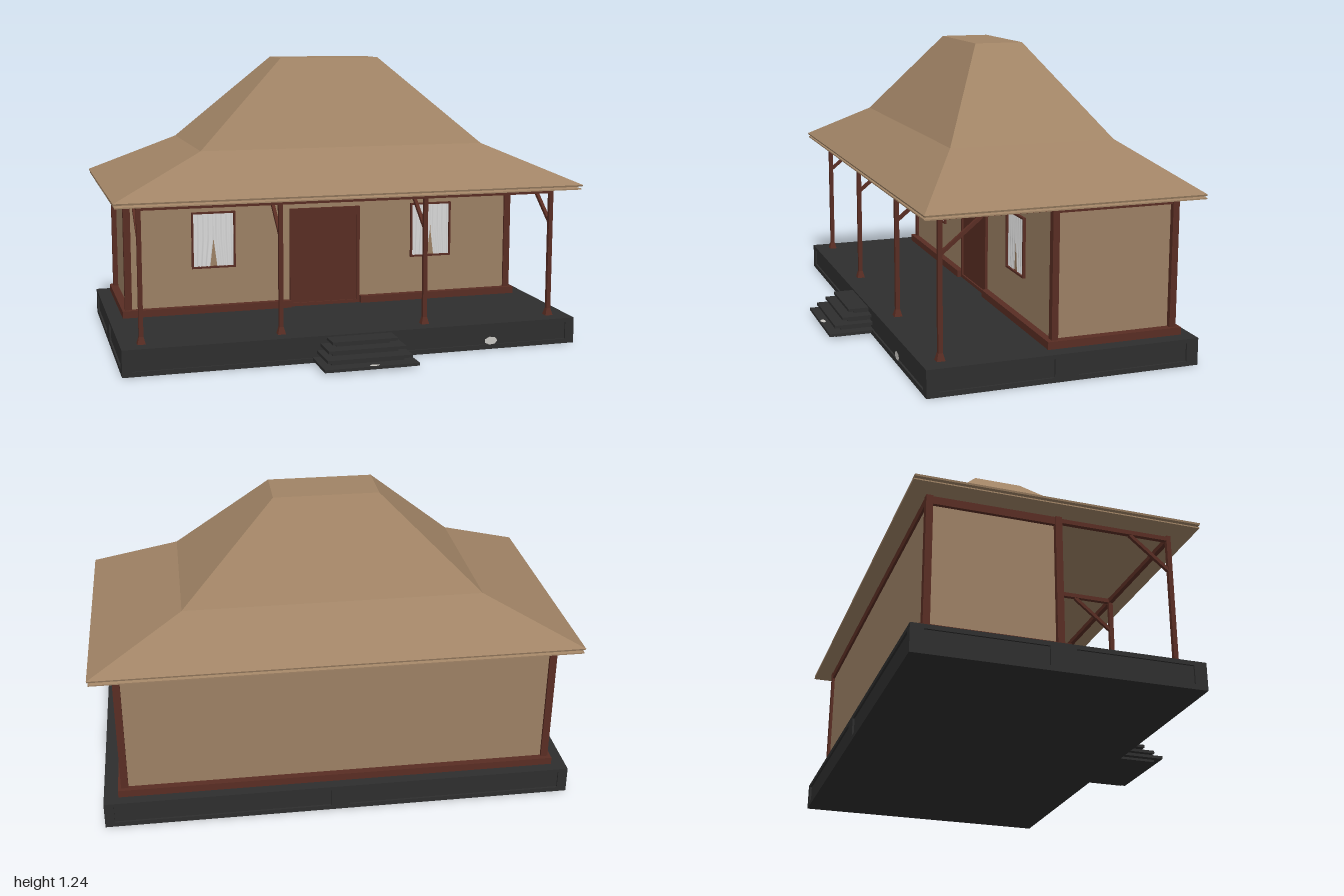
import * as THREE from 'three';

const mat = (name, color, side = THREE.FrontSide) => {
  const m = new THREE.MeshStandardMaterial({ color, side });
  m.name = name;
  return m;
};

// Stack of rectangular rings [y, halfWidth, zBack, zFront], flat faceted and capped
function ringLoft(rings) {
  const pos = [];
  const corners = ([y, w, b, f]) => [[-w, y, f], [w, y, f], [w, y, b], [-w, y, b]];
  const quad = (a, b, c, d) => pos.push(...a, ...b, ...c, ...a, ...c, ...d);
  for (let i = 0; i + 1 < rings.length; i++) {
    const lo = corners(rings[i]), hi = corners(rings[i + 1]);
    for (let k = 0; k < 4; k++) {
      const n = (k + 1) % 4;
      quad(lo[k], lo[n], hi[n], hi[k]);
    }
  }
  const bottom = corners(rings[0]), top = corners(rings[rings.length - 1]);
  quad(bottom[3], bottom[2], bottom[1], bottom[0]);
  quad(...top);
  const g = new THREE.BufferGeometry();
  g.setAttribute('position', new THREE.Float32BufferAttribute(pos, 3));
  g.computeVertexNormals();
  return g;
}

export function createModel() {
  const thatch = mat('thatch', 0xa08365);
  const plaster = mat('plaster', 0x9c8064);
  const wood = mat('dark red wood', 0x592d23);
  const stone = mat('dark stone', 0x2e2e2e);
  const cloth = mat('curtain cloth', 0xd9d9d9, THREE.DoubleSide);
  const chip = mat('pale chip', 0xc9c7c2);

  const model = new THREE.Group();
  model.name = 'house';
  const group = (name) => {
    const g = new THREE.Group();
    g.name = name;
    model.add(g);
    return g;
  };
  const add = (parent, name, geo, material) => {
    const m = new THREE.Mesh(geo, material);
    m.name = name;
    parent.add(m);
    return m;
  };
  // Box given by its bounds
  const box = (parent, name, material, x0, x1, y0, y1, z0, z1) => {
    const m = add(parent, name, new THREE.BoxGeometry(x1 - x0, y1 - y0, z1 - z0), material);
    m.position.set((x0 + x1) / 2, (y0 + y1) / 2, (z0 + z1) / 2);
    return m;
  };

  // Plinth: recessed core with rails and stiles making two panels per side
  const plinth = group('plinth');
  const X = 0.98, ZB = -0.65, ZF = 0.48, d = 0.008;
  box(plinth, 'plinthCore', stone, -X + d, X - d, 0.02, 0.095, ZB + d, ZF - d);
  box(plinth, 'plinthBottom', stone, -X, X, 0, 0.02, ZB, ZF);
  box(plinth, 'plinthTop', stone, -X, X, 0.095, 0.112, ZB, ZF);
  for (const s of [-1, 1]) {
    const x0 = s > 0 ? X - 0.04 : -X, z0 = s > 0 ? ZF - 0.05 : ZB;
    for (const zc of [ZB, ZF - 0.05]) box(plinth, 'cornerStile', stone, x0, x0 + 0.04, 0.02, 0.095, zc, zc + 0.05);
    box(plinth, 'sideStile', stone, x0, x0 + 0.04, 0.02, 0.095, -0.135, -0.035);
    box(plinth, 'middleStile', stone, -0.04, 0.04, 0.02, 0.095, z0, z0 + 0.05);
  }

  // Front steps: overhanging treads on inset risers
  const steps = group('steps');
  [[0.2, 0.665, 0.022], [0.18, 0.637, 0.05], [0.165, 0.6, 0.078], [0.14, 0.567, 0.105]].forEach(([w, z, y]) => {
    box(steps, 'tread', stone, -w, w, y - 0.012, y, 0.47, z);
    box(steps, 'riser', stone, -w + 0.025, w - 0.025, Math.max(0, y - 0.03), y - 0.012, 0.47, z - 0.03);
  });

  // Pale chipped spots on the stone
  const chipGeo = new THREE.CircleGeometry(0.03, 7);
  const frontChip = add(plinth, 'frontChip', chipGeo, chip);
  frontChip.position.set(0.59, 0.037, ZF + 0.001);
  frontChip.scale.y = 0.6;
  const stepChip = add(steps, 'stepChip', chipGeo, chip);
  stepChip.rotation.x = -Math.PI / 2;
  stepChip.position.set(0.012, 0.023, 0.652);
  stepChip.scale.set(0.7, 0.4, 1);

  // House body
  const body = group('body');
  const wx = 0.885, wf = -0.06, wb = -0.575;
  box(body, 'walls', plaster, -wx, wx, 0.11, 0.685, wb, wf);
  for (const s of [-1, 1]) {
    const x0 = s > 0 ? 0.877 : -0.907;
    box(body, 'frontCornerPost', wood, x0, x0 + 0.03, 0.11, 0.68, -0.077, -0.05);
    box(body, 'backCornerPost', wood, x0, x0 + 0.03, 0.11, 0.68, -0.587, -0.56);
    const sx = s > 0 ? 0.87 : -0.92;
    box(body, 'sideSill', wood, sx, sx + 0.05, 0.112, 0.143, -0.605, -0.03);
    const px = s > 0 ? 0.87 : -0.9;
    box(body, 'sidePlate', wood, px, px + 0.03, 0.645, 0.678, -0.58, -0.055);
    const fx = s > 0 ? 0.165 : -0.87;
    box(body, 'frontSill', wood, fx, fx + 0.705, 0.112, 0.143, -0.08, -0.03);
  }
  box(body, 'backSill', wood, -0.87, 0.87, 0.112, 0.143, -0.605, -0.56);
  box(body, 'frontPlate', wood, -0.88, 0.88, 0.645, 0.678, -0.075, -0.053);
  box(body, 'backPlate', wood, -0.88, 0.88, 0.645, 0.678, -0.585, -0.56);

  // Rectangular wooden surround on the front wall
  const surround = (parent, name, x0, x1, y0, y1, t) => {
    const z0 = wf - 0.005, z1 = wf + 0.012;
    box(parent, name + 'Left', wood, x0, x0 + t, y0, y1, z0, z1);
    box(parent, name + 'Right', wood, x1 - t, x1, y0, y1, z0, z1);
    box(parent, name + 'Top', wood, x0 + t, x1 - t, y1 - t, y1, z0, z1);
    box(parent, name + 'Bottom', wood, x0 + t, x1 - t, y0, y0 + t, z0, z1);
  };

  // Door
  const door = group('door');
  surround(door, 'doorFrame', -0.165, 0.163, 0.112, 0.56, 0.015);
  box(door, 'doorLeaf', wood, -0.15, 0.148, 0.127, 0.545, wf - 0.005, wf + 0.005);

  // Curtain half: pleated sheet, pulled aside towards the bottom
  const curtain = new THREE.PlaneGeometry(1, 1, 40, 8);
  const p = curtain.attributes.position;
  for (let i = 0; i < p.count; i++) {
    const u = p.getX(i) + 0.5, y = p.getY(i) + 0.5;
    const gap = 0.016 * Math.max(0, 1 - y / 0.53);
    p.setXYZ(i, gap + (0.092 - gap) * u, 0.316 + y * 0.238, wf + 0.004 + 0.002 * Math.sin(u * Math.PI * 8));
  }
  curtain.computeVertexNormals();

  // Windows
  for (const xc of [-0.512, 0.508]) {
    const win = group('window');
    surround(win, 'windowFrame', xc - 0.098, xc + 0.098, 0.31, 0.562, 0.008);
    for (const s of [-1, 1]) {
      const half = add(win, 'curtain', curtain, cloth);
      half.position.x = xc;
      half.scale.x = s;
    }
  }

  // Porch: four posts with flared feet, tie beams and rear-facing braces
  const porch = group('porch');
  const foot = new THREE.CylinderGeometry(0.013, 0.024, 0.03, 4).rotateY(Math.PI / 4).toNonIndexed();
  foot.computeVertexNormals();
  const dy = 0.13, dz = 0.16;
  for (const x of [-0.893, -0.315, 0.315, 0.893]) {
    box(porch, 'post', wood, x - 0.009, x + 0.009, 0.112, 0.678, 0.39, 0.408);
    add(porch, 'postFoot', foot, wood).position.set(x, 0.127, 0.399);
    box(porch, 'tieBeam', wood, x - 0.009, x + 0.009, 0.654, 0.672, -0.055, 0.39);
    const brace = add(porch, 'brace', new THREE.BoxGeometry(0.014, 0.014, Math.hypot(dy, dz)), wood);
    brace.position.set(x, 0.59, 0.315);
    brace.rotation.x = Math.atan2(dy, dz);
  }
  box(porch, 'frontBeam', wood, -0.9, 0.9, 0.654, 0.674, 0.39, 0.408);

  // Two-pitch hipped roof over a thin lower eave
  const roof = group('roof');
  add(roof, 'roofShell', ringLoft([
    [0.69, 0.998, -0.653, 0.488], [0.697, 1, -0.655, 0.49],
    [0.867, 0.617, -0.435, 0.265], [1.235, 0.22, -0.19, 0.02],
  ]), thatch);
  add(roof, 'lowerEave', ringLoft([
    [0.677, 0.994, -0.658, 0.488], [0.682, 0.994, -0.658, 0.488], [0.691, 0.965, -0.63, 0.465],
  ]), thatch);

  return model;
}
